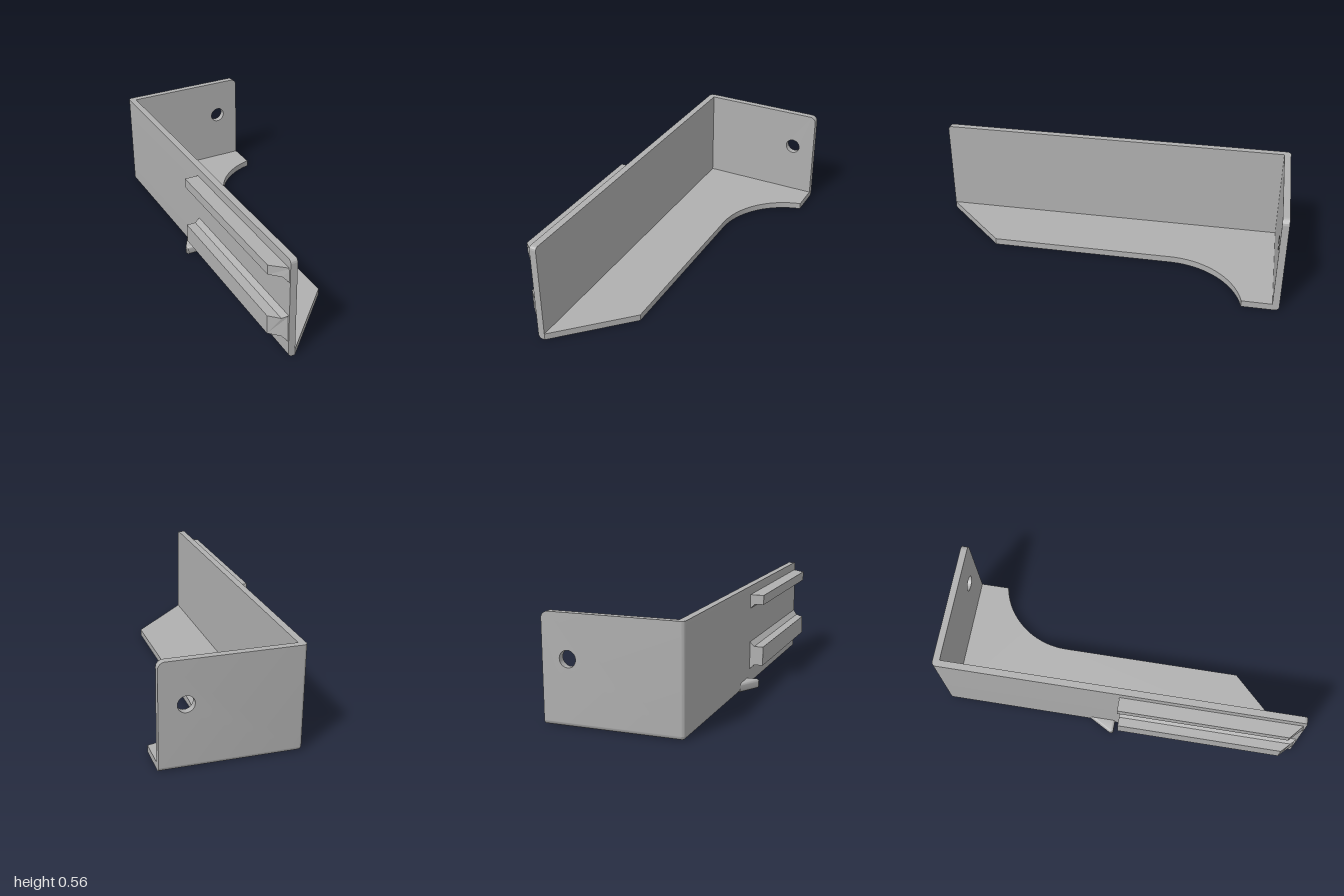
import * as THREE from 'three';
import { toCreasedNormals } from 'three/addons/utils/BufferGeometryUtils.js';

const OUT = -0.327, T = 0.037, H = 0.56, R = 0.022; // outer wall plane, thickness, height, edge radius

function polygon(points) {
  return new THREE.Shape(points.map(([x, y]) => new THREE.Vector2(x, y)));
}

function extrude(shape, depth, steps = 1) {
  return new THREE.ExtrudeGeometry(shape, { depth, steps, bevelEnabled: false, curveSegments: 20 });
}

// Plate whose outer face (z = 0) is rounded off along its bottom edge and, if given, its left edge
function roundedPlate(shape, left = -Infinity) {
  const n = 8;
  const g = extrude(shape, T, n);
  const p = g.attributes.position;
  for (let j = 0; j < p.count; j++) {
    const k = Math.round((p.getZ(j) / T) * n);
    const a = (Math.min(k / (n - 1), 1) * Math.PI) / 2;
    const s = Math.max(Math.sin(a), 0.01);
    const x = p.getX(j), y = p.getY(j), cx = left + R;
    if (x < cx) p.setX(j, cx + (x - cx) * s);
    if (y < R) p.setY(j, R + (y - R) * s);
    p.setZ(j, k === n ? T : R * (1 - Math.cos(a)));
  }
  return toCreasedNormals(g, 0.6);
}

export function createModel() {
  const model = new THREE.Group();
  const grey = new THREE.MeshStandardMaterial({ color: 0xb0b0b0 });
  grey.name = 'grey';
  const add = (name, geometry) => {
    const mesh = new THREE.Mesh(geometry, grey);
    mesh.name = name;
    model.add(mesh);
    return mesh;
  };

  // Floor with a concave cut at the back and a slanted front
  const floor = new THREE.Shape();
  floor.moveTo(OUT + R, 1 - R);
  floor.lineTo(OUT + R, -1);
  floor.lineTo(-0.29, -1);
  floor.lineTo(0.065, -0.64);
  floor.lineTo(0.065, 0.38);
  floor.absarc(0.496, 0.38, 0.431, Math.PI, Math.atan2(0.42, -0.096), true);
  floor.lineTo(0.4, 1 - R);
  add('floor', toCreasedNormals(extrude(floor, T).rotateX(-Math.PI / 2), 0.5));

  // Long side wall, top front corner rounded
  const side = new THREE.Shape();
  side.moveTo(-1, 0);
  side.lineTo(1 - R, 0);
  side.lineTo(1 - R, H);
  side.lineTo(-0.98, H);
  side.absarc(-0.98, H - 0.02, 0.02, Math.PI / 2, Math.PI, false);
  // extra points let the bottom edge curve cleanly
  side.lineTo(-1, R);
  add('sideWall', roundedPlate(side).rotateY(Math.PI / 2).translate(OUT, 0, 0));

  // Back wall with a screw hole
  const back = new THREE.Shape();
  back.moveTo(OUT + R, 0);
  back.lineTo(0.4, 0);
  back.lineTo(0.4, R);
  back.lineTo(0.4, H - 0.035);
  back.absarc(0.365, H - 0.035, 0.035, 0, Math.PI / 2, false);
  back.lineTo(OUT + R, H);
  back.lineTo(OUT, H);
  back.lineTo(OUT, R);
  back.absarc(OUT + R, R, R, Math.PI, Math.PI * 1.5, false);
  const hole = new THREE.Path();
  hole.absarc(0.265, 0.336, 0.043, 0, Math.PI * 2, true);
  back.holes.push(hole);
  add('backWall', roundedPlate(back, OUT).translate(0, 0, -1));

  // Outer rails with flared roots, front ends cut at 45 degrees
  const IN = OUT + 0.01, TIP = -0.402;
  const rails = {
    upperRail: [[IN, 0.512], [TIP, 0.512], [TIP, 0.46], [-0.352, 0.46], [OUT, 0.435], [IN, 0.435]],
    lowerRail: [[IN, 0.246], [OUT, 0.246], [-0.352, 0.222], [TIP, 0.222],
      [TIP, 0.117], [-0.352, 0.117], [OUT, 0.092], [IN, 0.092]],
  };
  for (const [name, points] of Object.entries(rails)) {
    const g = extrude(polygon(points), 0.985).translate(0, 0, 0.01);
    const p = g.attributes.position;
    for (let j = 0; j < p.count; j++) {
      if (p.getZ(j) > 0.5) p.setZ(j, 0.995 - Math.max(0, OUT - p.getX(j)));
    }
    g.computeVertexNormals();
    add(name, g);
  }

  // Small wedge catch with softened edges, low on the side wall
  const b = 0.014;
  const wedge = polygon([[-0.30, 0.02], [-0.385, 0.02], [-0.393, 0.026], [-0.395, 0.038],
    [OUT, 0.16], [-0.30, 0.16]]);
  const catchGeometry = new THREE.ExtrudeGeometry(wedge, {
    depth: 0.051 - 2 * b, bevelThickness: b, bevelSize: b, bevelOffset: -b, bevelSegments: 5,
  });
  add('catch', toCreasedNormals(catchGeometry.rotateX(-Math.PI / 2).translate(0, b, 0), 0.6));

  return model;
}
